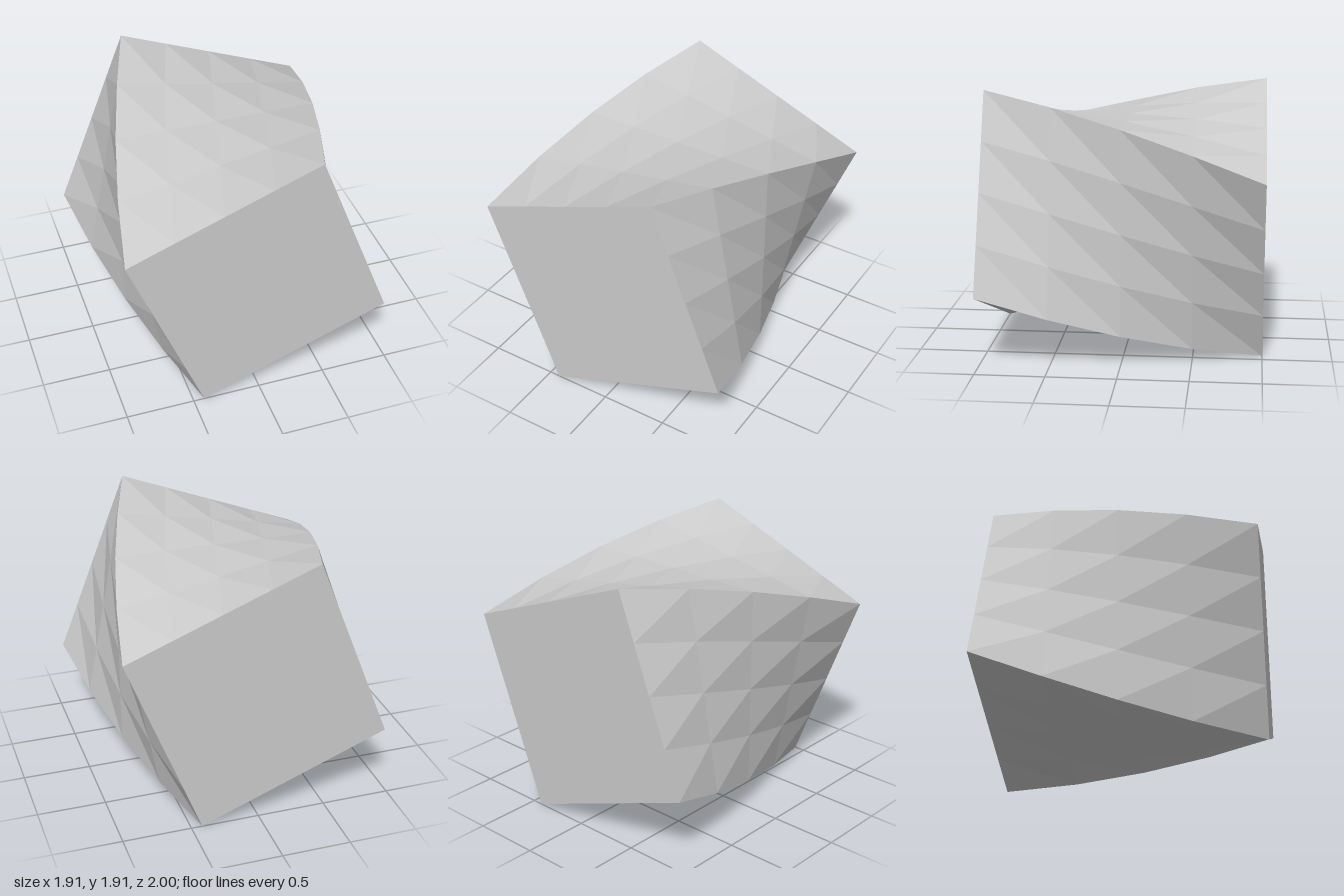
import * as THREE from 'three';

const HALF = 0.739;      // half side of the square section
const TWIST = 0.372;     // turn in radians per unit of depth
const CENTRE_Y = 0.96;
const SEG = 4;

// Turn a point of the straight block about the z axis, in proportion to its depth
function twist([x, y, z]) {
  const c = Math.cos(TWIST * z), s = Math.sin(TWIST * z);
  return [x * c - y * s, CENTRE_Y + x * s + y * c, z];
}

// One gridded side of the block: axis 0, 1, 2 = x, y, z and sign -1 or 1
function addSide(out, axis, sign) {
  const size = [HALF, HALF, 1];
  const [a, b] = [0, 1, 2].filter((k) => k !== axis);
  const outward = sign * (axis === 1 ? -1 : 1);
  const corner = (i, j) => {
    const p = [0, 0, 0];
    p[axis] = sign * size[axis];
    p[a] = size[a] * (2 * i / SEG - 1);
    p[b] = size[b] * (2 * j / SEG - 1);
    return twist(p);
  };
  const triangle = (p, q, r) => out.push(...p, ...(outward > 0 ? [...q, ...r] : [...r, ...q]));
  for (let i = 0; i < SEG; i++) {
    for (let j = 0; j < SEG; j++) {
      const low = corner(i, j), high = corner(i + 1, j + 1);
      triangle(low, corner(i + 1, j), high);
      triangle(low, high, corner(i, j + 1));
    }
  }
}

export function createModel() {
  const group = new THREE.Group();
  group.name = 'twistedBlock';

  // Four twisted sides and two flat ends
  const positions = [];
  for (const axis of [0, 1, 2]) {
    for (const sign of [-1, 1]) addSide(positions, axis, sign);
  }
  const geometry = new THREE.BufferGeometry();
  geometry.setAttribute('position', new THREE.Float32BufferAttribute(positions, 3));
  geometry.computeVertexNormals();

  const block = new THREE.Mesh(
    geometry,
    new THREE.MeshStandardMaterial({ color: 0xcccccc, flatShading: true })
  );
  block.name = 'block';
  group.add(block);
  return group;
}
